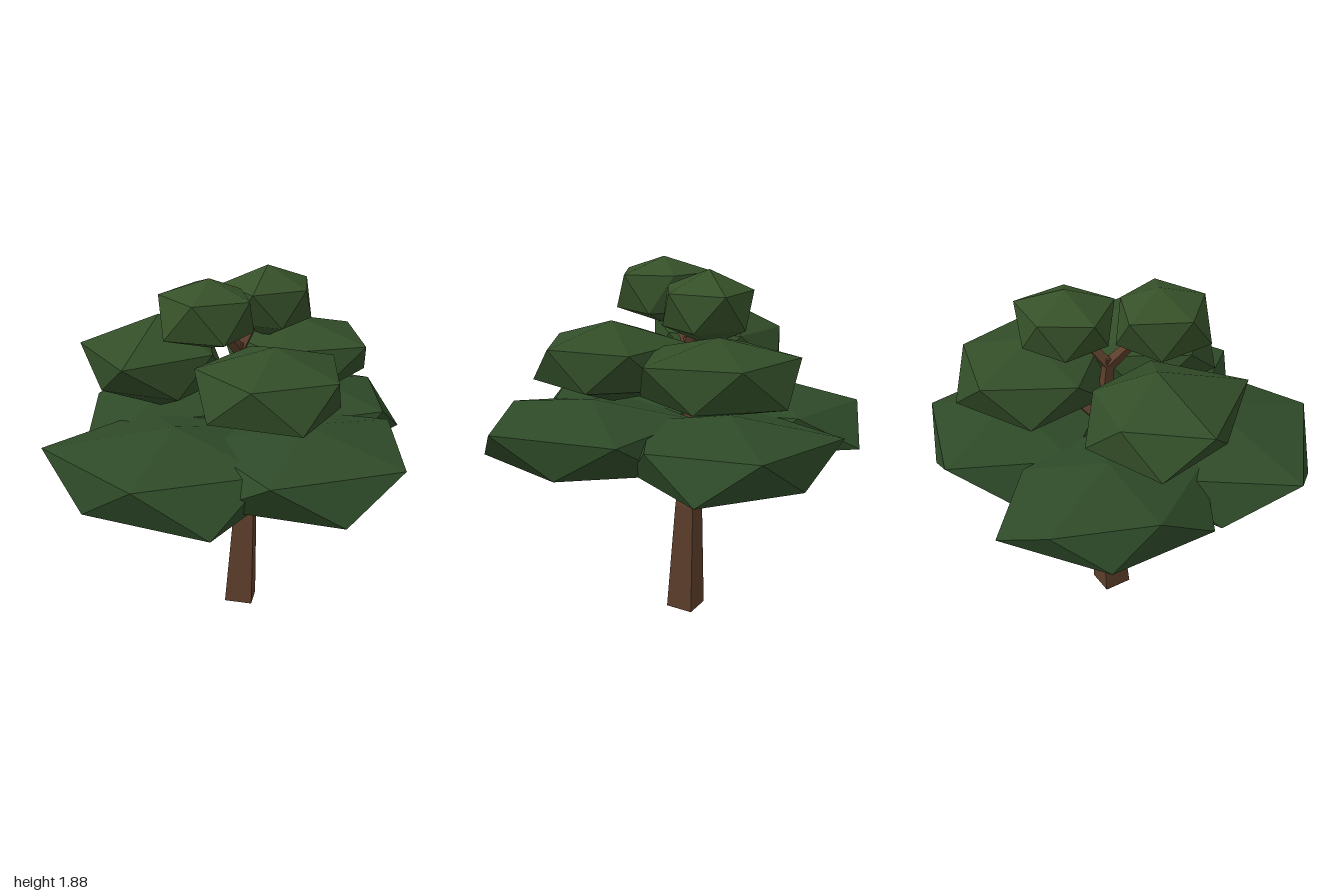
import * as THREE from 'three';

const paint = (color) => new THREE.MeshStandardMaterial({ color, flatShading: true, side: THREE.DoubleSide });

// Uneven flattened icosahedron: ten radii at 36 degree steps, alternating upper and lower ring
function leafClump([cx, cy, cz], halfHeight, ring, radii) {
  const upper = [], lower = [];
  radii.forEach((r, i) => {
    const a = i * Math.PI / 5;
    const up = i % 2 === 0;
    (up ? upper : lower).push([cx + r * Math.cos(a), cy + (up ? ring : -ring), cz + r * Math.sin(a)]);
  });
  const top = [cx, cy + halfHeight, cz], bottom = [cx, cy - halfHeight, cz];
  const corners = [];
  for (let i = 0; i < 5; i++) {
    const j = (i + 1) % 5;
    corners.push(top, upper[j], upper[i]);
    corners.push(upper[i], upper[j], lower[i]);
    corners.push(lower[i], upper[j], lower[j]);
    corners.push(bottom, lower[i], lower[j]);
  }
  const geometry = new THREE.BufferGeometry();
  geometry.setAttribute('position', new THREE.Float32BufferAttribute(corners.flat(), 3));
  geometry.computeVertexNormals();
  return geometry;
}

// Square trunk, bent and tapered: each level is [x, y, z, radius]
function trunkGeometry(levels) {
  const n = levels.length - 1;
  const geometry = new THREE.CylinderGeometry(1, 1, n, 4, n);
  const p = geometry.attributes.position;
  for (let i = 0; i < p.count; i++) {
    const [x, y, z, r] = levels[Math.round(p.getY(i) + n / 2)];
    const dx = p.getX(i) * r;
    // the foot is cut at a slight slant
    const slant = y === 0 ? Math.max(0, 0.007 - dx * 0.07) : 0;
    p.setXYZ(i, x + dx, y + slant, z + p.getZ(i) * r);
  }
  geometry.computeVertexNormals();
  return geometry;
}

function branchMesh(from, to, r0, r1, material) {
  const a = new THREE.Vector3(...from), b = new THREE.Vector3(...to);
  const dir = b.clone().sub(a);
  const mesh = new THREE.Mesh(new THREE.CylinderGeometry(r1, r0, dir.length(), 4), material);
  mesh.position.copy(a).add(b).multiplyScalar(0.5);
  mesh.quaternion.setFromUnitVectors(new THREE.Vector3(0, 1, 0), dir.normalize());
  mesh.name = 'branch';
  return mesh;
}

export function createModel() {
  const tree = new THREE.Group();
  tree.name = 'tree';
  const bark = paint(0x5c3e2b);

  // Trunk
  const trunk = new THREE.Mesh(trunkGeometry([
    [0.025, 0, -0.055, 0.105],
    [0.065, 0.6, -0.06, 0.074],
    [0.055, 0.86, -0.075, 0.055],
    [0.06, 1.15, -0.08, 0.045],
    [0.03, 1.5, -0.07, 0.03],
  ]), bark);
  trunk.name = 'trunk';
  tree.add(trunk);

  // Branches reaching into the clumps
  const branches = new THREE.Group();
  branches.name = 'branches';
  const low = [0.055, 0.81, -0.07], mid = [0.06, 1.12, -0.08], high = [0.03, 1.46, -0.07];
  [
    [low, [-0.32, 0.92, 0.02]], [low, [0.06, 0.93, 0.3]],
    [low, [0.36, 0.93, -0.1]], [low, [-0.05, 0.92, -0.4]],
    [mid, [-0.2, 1.36, -0.28]], [mid, [-0.02, 1.33, 0.22]], [mid, [0.32, 1.34, -0.1]],
    [high, [-0.15, 1.66, -0.02]], [high, [0.2, 1.66, -0.1]],
  ].forEach(([from, to]) => branches.add(branchMesh(from, to, 0.035, 0.022, bark)));
  tree.add(branches);

  // Foliage tiers: each clump is [centre, half height, ring height, radii]
  const tiers = [
    ['lowerFoliage', 0x2e4a28, [
      [[-0.47, 0.98, 0.08], 0.22, 0.105, [0.55, 0.55, 0.56, 0.62, 0.55, 0.53, 0.66, 0.58, 0.55, 0.55]],
      [[0.05, 1.01, 0.45], 0.2, 0.1, [0.56, 0.45, 0.57, 0.56, 0.57, 0.56, 0.52, 0.52, 0.52, 0.52]],
      [[0.53, 1.005, -0.13], 0.205, 0.095, [0.46, 0.52, 0.49, 0.48, 0.5, 0.5, 0.5, 0.5, 0.55, 0.43]],
      [[-0.1, 1.015, -0.56], 0.215, 0.09, [0.43, 0.48, 0.48, 0.48, 0.5, 0.53, 0.39, 0.44, 0.48, 0.57]],
    ]],
    ['middleFoliage', 0x324d28, [
      [[-0.28, 1.39, -0.35], 0.25, 0.095, [0.31, 0.35, 0.35, 0.37, 0.48, 0.35, 0.41, 0.4, 0.31, 0.36]],
      [[-0.04, 1.38, 0.32], 0.21, 0.1, [0.375, 0.33, 0.37, 0.41, 0.37, 0.4, 0.39, 0.38, 0.38, 0.38]],
      [[0.43, 1.375, -0.1], 0.195, 0.1, [0.36, 0.37, 0.43, 0.38, 0.38, 0.38, 0.4, 0.39, 0.4, 0.4]],
    ]],
    ['upperFoliage', 0x365129, [
      [[-0.2, 1.71, 0], 0.175, 0.095, [0.19, 0.22, 0.245, 0.25, 0.245, 0.27, 0.25, 0.24, 0.26, 0.22]],
      [[0.24, 1.68, -0.11], 0.19, 0.09, [0.26, 0.23, 0.24, 0.23, 0.26, 0.22, 0.24, 0.21, 0.22, 0.22]],
    ]],
  ];
  for (const [name, color, clumps] of tiers) {
    const tier = new THREE.Group();
    tier.name = name;
    const leaves = paint(color);
    for (const clump of clumps) {
      const mesh = new THREE.Mesh(leafClump(...clump), leaves);
      mesh.name = 'leafClump';
      tier.add(mesh);
    }
    tree.add(tier);
  }
  return tree;
}
